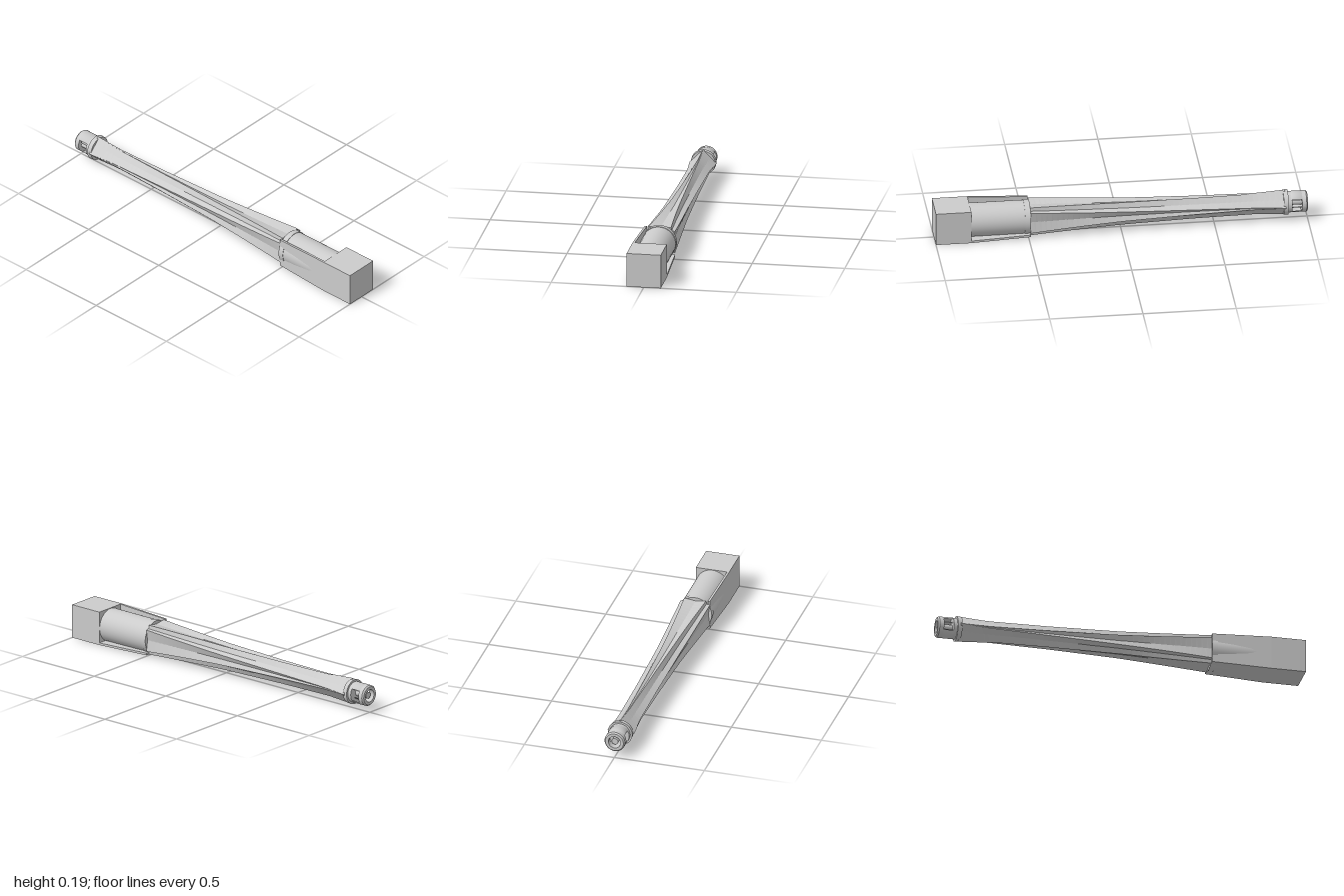
import * as THREE from 'three';

const AXIS = 0.0925;
const flat = new THREE.MeshStandardMaterial({ color: 0xcccccc, flatShading: true, side: THREE.DoubleSide });
const smooth = new THREE.MeshStandardMaterial({ color: 0xcccccc, side: THREE.DoubleSide });

// Skin of [x, [[y, z], ...]] cross-sections along x, with fan caps
function loft(sections) {
  const pos = [], index = [], n = sections[0][1].length, last = sections.length - 1;
  for (const [x, pts] of sections) for (const [y, z] of pts) pos.push(x, y, z);
  for (let j = 0; j < last; j++) {
    for (let i = 0; i < n; i++) {
      const a = j * n + i, b = j * n + (i + 1) % n;
      index.push(a, b, b + n, a, b + n, a + n);
    }
  }
  for (let i = 1; i < n - 1; i++) {
    index.push(0, i + 1, i, last * n, last * n + i, last * n + i + 1);
  }
  const g = new THREE.BufferGeometry();
  g.setAttribute('position', new THREE.Float32BufferAttribute(pos, 3));
  g.setIndex(index);
  const out = g.toNonIndexed();
  out.computeVertexNormals();
  return out;
}

// Turned part around the x axis; each profile edge stays crisp
function turned(profile, start = 0, length = Math.PI * 2) {
  const pts = profile.map(([x, r]) => new THREE.Vector2(r, x));
  return new THREE.LatheGeometry(pts, 40, start, length).rotateZ(-Math.PI / 2);
}

// Half-height of the body along x
const outline = [[-0.88, 0.074], [-0.8, 0.067], [-0.72, 0.061], [-0.4, 0.061], [0, 0.066], [0.49, 0.082], [0.81, 0.0925]];
function extent(x) {
  const k = Math.max(1, outline.findIndex(p => p[0] >= x));
  const [x0, e0] = outline[k - 1], [x1, e1] = outline[k];
  return THREE.MathUtils.lerp(e0, e1, (x - x0) / (x1 - x0));
}

// Square section that turns gradually towards the narrow end
function twistedBody(turn) {
  const sections = [];
  for (let j = 0; j <= 48; j++) {
    const x = -0.88 + 1.37 * j / 48;
    const angle = turn * (0.81 - x) / 1.69;
    const r = Math.SQRT2 * extent(x) / (Math.cos(angle) + Math.abs(Math.sin(angle)));
    const pts = [];
    for (let i = 0; i < 4; i++) {
      const a = angle + Math.PI / 4 + i * Math.PI / 2;
      pts.push([r * Math.cos(a), r * Math.sin(a)]);
    }
    sections.push([x, pts]);
  }
  return loft(sections);
}

export function createModel() {
  const model = new THREE.Group();
  const add = (name, geometry, material) => {
    const mesh = new THREE.Mesh(geometry, material);
    mesh.name = name;
    mesh.position.y = AXIS;
    model.add(mesh);
    return mesh;
  };

  // Square block at the wide end
  add('endBlock', new THREE.BoxGeometry(0.19, 0.185, 0.185).translate(0.905, 0, 0), flat);

  // Two counter-twisted layers make the crossing facets
  add('twistedBody', twistedBody(Math.PI / 4), flat);
  add('twistedInnerBody', twistedBody(-Math.PI / 4), flat);

  // Front and bottom panels wrapping the exposed barrel
  const wall = (x) => {
    const h = extent(x), t = 0.012;
    return [x, [[-h, h], [-h, -h], [-h + t, -h], [-h + t, h - t], [h, h - t], [h, h]]];
  };
  add('cornerPanels', loft([wall(0.49), wall(0.81)]), flat);

  // Barrel and its raised collar
  add('barrel', turned([[0.49, 0.09], [0.815, 0.09]]), smooth);
  add('barrelCollar', new THREE.CylinderGeometry(0.0925, 0.0925, 0.03, 40)
    .rotateZ(-Math.PI / 2).translate(0.505, 0, 0), smooth);

  // Collar at the narrow end
  add('neckCollar', new THREE.CylinderGeometry(0.066, 0.068, 0.025, 40)
    .rotateZ(-Math.PI / 2).translate(-0.8825, 0, 0), smooth);

  // Hollow tip: two rings joined by side bridges, leaving front and back windows
  add('tipRing', turned([[-1, 0.034], [-1, 0.05], [-0.992, 0.057], [-0.968, 0.057], [-0.968, 0.034], [-1, 0.034]]), flat);
  add('tipBase', turned([[-0.915, 0], [-0.915, 0.057], [-0.88, 0.057]]), flat);
  for (const side of [0, 1]) {
    add('tipBridge', turned([[-0.97, 0.034], [-0.97, 0.057], [-0.91, 0.057], [-0.91, 0.034], [-0.97, 0.034]],
      0.6 + side * Math.PI, Math.PI - 1.2), smooth);
  }
  add('tipPin', new THREE.CylinderGeometry(0.018, 0.018, 0.085, 16)
    .rotateZ(-Math.PI / 2).translate(-0.9475, 0, 0), smooth);

  return model;
}
